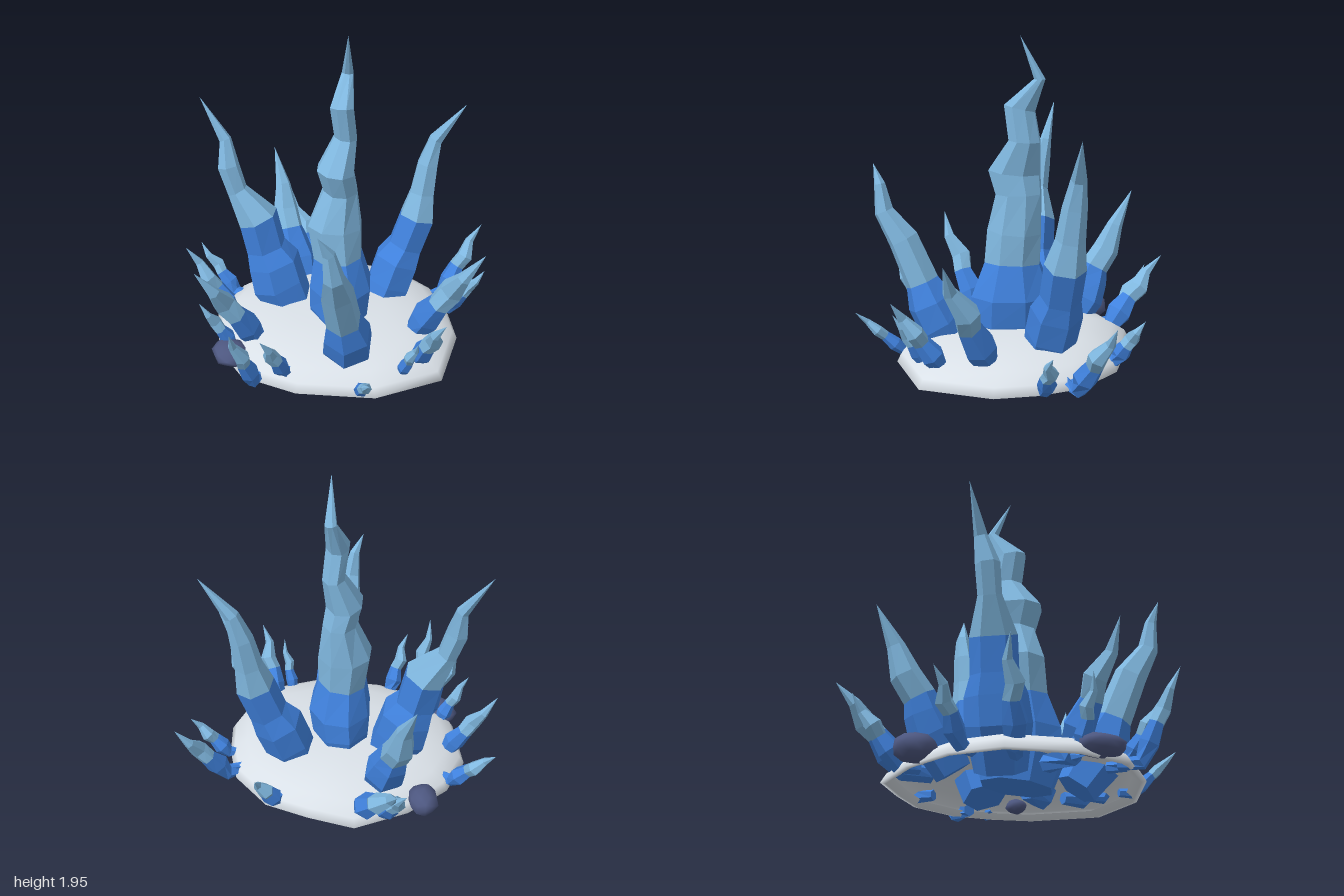
import * as THREE from 'three';
import { mergeVertices } from 'three/addons/utils/BufferGeometryUtils.js';

const mat = (name, color, double) => {
  const m = new THREE.MeshStandardMaterial({ color });
  m.name = name;
  if (double) m.side = THREE.DoubleSide;
  return m;
};

// Faceted horn through sections [x, y, z, radius, depthRadius]; each ring is square to the path.
function hornGeometry(sections, from, to, sides, twist) {
  const centres = sections.map(s => new THREE.Vector3(s[0], s[1], s[2]));
  const rings = sections.map((s, i) => {
    const t = centres[Math.min(i + 1, centres.length - 1)].clone()
      .sub(centres[Math.max(i - 1, 0)]).normalize();
    const u = new THREE.Vector3(1, 0, 0).addScaledVector(t, -t.x).normalize();
    const v = new THREE.Vector3().crossVectors(t, u);
    return Array.from({ length: sides }, (_, k) => {
      const a = twist + k / sides * Math.PI * 2;
      return centres[i].clone()
        .addScaledVector(u, Math.cos(a) * s[3])
        .addScaledVector(v, Math.sin(a) * (s[4] ?? s[3]));
    });
  });
  const pos = [];
  const tri = (a, b, c) => [a, b, c].forEach(p => pos.push(p.x, p.y, p.z));
  for (let i = from; i < to; i++) {
    for (let k = 0; k < sides; k++) {
      const n = (k + 1) % sides;
      const [a, b, c, d] = [rings[i][k], rings[i][n], rings[i + 1][n], rings[i + 1][k]];
      tri(a, b, c);
      if (sections[i + 1][3] > 0) tri(a, c, d);
    }
  }
  if (from === 0) for (let k = 0; k < sides; k++) tri(centres[0], rings[0][(k + 1) % sides], rings[0][k]);
  const g = new THREE.BufferGeometry();
  g.setAttribute('position', new THREE.Float32BufferAttribute(pos, 3));
  g.computeVertexNormals();
  return g;
}

// Rounded lump with a smooth, slightly uneven surface
function stoneGeometry() {
  let g = new THREE.IcosahedronGeometry(1, 1);
  g.deleteAttribute('normal');
  g.deleteAttribute('uv');
  g = mergeVertices(g);
  const p = g.attributes.position;
  for (let i = 0; i < p.count; i++) {
    const k = 1 + 0.08 * Math.sin(i * 2.4);
    p.setXYZ(i, p.getX(i) * k, p.getY(i) * k, p.getZ(i) * k);
  }
  g.computeVertexNormals();
  return g;
}

export function createModel() {
  const model = new THREE.Group();
  const deepBlue = mat('deep blue crystal', 0x4082de);
  const paleBlue = mat('pale blue crystal', 0x80b8e0);
  const snow = mat('pale grey mound', 0xdde4eb, true);
  const stone = mat('dark slate stone', 0x4d5780);
  deepBlue.flatShading = paleBlue.flatShading = true;

  const add = (name, geometry, material, parent = model) => {
    const m = new THREE.Mesh(geometry, material);
    m.name = name;
    parent.add(m);
    return m;
  };

  // A horn has a deep blue root up to section `split` and a pale tip above it.
  const horn = (name, sections, split, sides = 6, twist = 0.3) => {
    const g = new THREE.Group();
    g.name = name;
    add('root', hornGeometry(sections, 0, split, sides, twist), deepBlue, g);
    add('tip', hornGeometry(sections, split, sections.length - 1, sides, twist), paleBlue, g);
    model.add(g);
  };

  // Mound: an uneven outline drawn in and up, with a turned-in lip underneath
  const outline = [[-0.07, -0.72], [0.2, -0.62], [0.45, -0.5], [0.64, -0.25], [0.69, 0], [0.69, 0.25],
    [0.51, 0.64], [0.1, 0.75], [-0.35, 0.66], [-0.66, 0.48], [-0.8, 0.2], [-0.81, -0.18],
    [-0.66, -0.43], [-0.4, -0.61]];
  const levels = [[0.9, 0.03], [0.96, 0], [1, 0.005], [0.96, 0.055], [0.85, 0.105], [0.66, 0.15],
    [0.4, 0.178], [0.01, 0.185]];
  const pos = [], index = [], n = outline.length;
  levels.forEach(([s, y], i) => outline.forEach(([x, z], k) => {
    pos.push(-0.05 + (x + 0.05) * s, y, z * s);
    if (i === levels.length - 1) return;
    const a = i * n + k, b = i * n + (k + 1) % n;
    index.push(a, a + n, b, b, a + n, b + n);
  }));
  const mound = new THREE.BufferGeometry();
  mound.setAttribute('position', new THREE.Float32BufferAttribute(pos, 3));
  mound.setIndex(index);
  mound.computeVertexNormals();
  add('mound', mound, snow);

  // Large horns
  horn('centreHorn', [[-0.04, 0.02, 0.02, 0.16, 0.21], [-0.035, 0.2, 0.04, 0.19, 0.27],
    [-0.025, 0.35, 0.04, 0.2, 0.26], [-0.04, 0.55, 0.035, 0.155, 0.18], [-0.055, 0.75, 0.02, 0.17, 0.175],
    [-0.02, 0.98, 0, 0.105, 0.145], [-0.05, 1.11, 0.02, 0.115, 0.165], [0.015, 1.3, -0.03, 0.07, 0.1],
    [-0.01, 1.49, -0.005, 0.072, 0.1], [0.035, 1.66, -0.115, 0.036, 0.035], [0.025, 1.91, 0, 0]], 3, 8, 0.2);
  horn('rightSideHorn', [[-0.3, 0.03, -0.11, 0.14], [-0.4, 0.25, -0.14, 0.18], [-0.43, 0.4, -0.16, 0.17],
    [-0.475, 0.5, -0.175, 0.13], [-0.515, 0.7, -0.19, 0.13], [-0.635, 0.88, -0.23, 0.065],
    [-0.68, 1.04, -0.25, 0.068], [-0.69, 1.2, -0.29, 0.038], [-0.83, 1.45, -0.375, 0]], 4);
  horn('leftSideHorn', [[0.24, 0.03, -0.11, 0.13], [0.31, 0.2, -0.14, 0.155], [0.365, 0.36, -0.16, 0.155],
    [0.42, 0.46, -0.17, 0.12], [0.49, 0.66, -0.18, 0.12], [0.52, 0.82, -0.2, 0.085],
    [0.55, 1.01, -0.215, 0.07], [0.595, 1.17, -0.225, 0.045], [0.77, 1.4, -0.2, 0]], 4);
  horn('frontHorn', [[-0.03, 0.03, 0.36, 0.12], [-0.03, 0.2, 0.48, 0.155], [-0.04, 0.32, 0.54, 0.145],
    [-0.065, 0.44, 0.585, 0.105], [-0.11, 0.7, 0.69, 0.095], [-0.14, 0.87, 0.8, 0.06],
    [-0.165, 1.03, 0.82, 0.035], [-0.225, 1.15, 0.855, 0]], 3);
  horn('backHorn', [[-0.24, 0.03, -0.35, 0.1], [-0.27, 0.22, -0.47, 0.13], [-0.295, 0.33, -0.52, 0.11],
    [-0.31, 0.41, -0.55, 0.09], [-0.33, 0.52, -0.63, 0.085], [-0.34, 0.68, -0.69, 0.05],
    [-0.385, 0.9, -0.81, 0]], 3);

  // Small horns: [base, tip, radius]
  const small = [
    [[0.4, 0.08, 0.25], [0.75, 0.77, 0.51], 0.1],
    [[-0.54, 0.06, 0.2], [-0.89, 0.69, 0.39], 0.09],
    [[0.38, 0.07, 0.5], [0.48, 0.5, 0.78], 0.068],
    [[0.28, 0.06, 0.6], [0.33, 0.38, 0.77], 0.042],
    [[0.01, 0.03, 0.7], [0.03, 0.3, 0.99], 0.042],
    [[-0.4, 0.07, 0.54], [-0.54, 0.43, 0.72], 0.055],
    [[-0.59, 0.03, 0.55], [-0.7, 0.52, 0.76], 0.058],
    [[-0.7, 0.04, 0.22], [-0.89, 0.38, 0.24], 0.05],
    [[-0.69, 0.05, -0.11], [-0.98, 0.52, -0.18], 0.068],
    [[-0.69, 0.04, -0.37], [-0.91, 0.35, -0.53], 0.057],
    [[-0.25, 0.05, -0.64], [-0.34, 0.4, -0.9], 0.06],
    [[-0.12, 0.06, -0.6], [-0.27, 0.48, -0.99], 0.08],
    [[0.39, 0.05, -0.5], [0.495, 0.32, -0.65], 0.06],
    [[0.69, 0.03, -0.22], [0.97, 0.47, -0.35], 0.07],
    [[0.69, 0.035, -0.03], [0.92, 0.31, -0.03], 0.055],
  ];
  // Share of length, share of radius, sideways sway
  const shape = [[0, 0.7, 0], [0.2, 1, 0.1], [0.4, 0.72, -0.1], [0.55, 0.78, 0.2], [0.75, 0.42, -0.3], [1, 0, 0]];
  small.forEach(([b, t, r], i) => {
    const flat = Math.hypot(t[0] - b[0], t[2] - b[2]);
    const sx = -(t[2] - b[2]) / flat, sz = (t[0] - b[0]) / flat, side = i % 2 ? 1 : -1;
    const sections = shape.map(([f, k, sway]) => [
      b[0] + (t[0] - b[0]) * f + sx * sway * r * side,
      b[1] + (t[1] - b[1]) * f,
      b[2] + (t[2] - b[2]) * f + sz * sway * r * side, r * k]);
    // Buried root reaching inwards under the mound
    sections.unshift([b[0] - sz * r * 2, b[1], b[2] + sx * r * 2, r * 0.55]);
    horn('smallHorn' + (i + 1), sections, 3, 6, i);
  });

  // Stones
  [[-0.49, 0.075, -0.57, 0.093, 0.075, 0.11], [-0.725, 0.062, 0.31, 0.105, 0.06, 0.13],
    [0.51, 0.05, 0.12, 0.065, 0.045, 0.065]].forEach(([x, y, z, a, b, c], i) => {
    const s = add('stone' + (i + 1), stoneGeometry(), stone);
    s.position.set(x, y, z);
    s.scale.set(a, b, c);
    s.rotation.y = i * 0.3;
  });

  return model;
}
